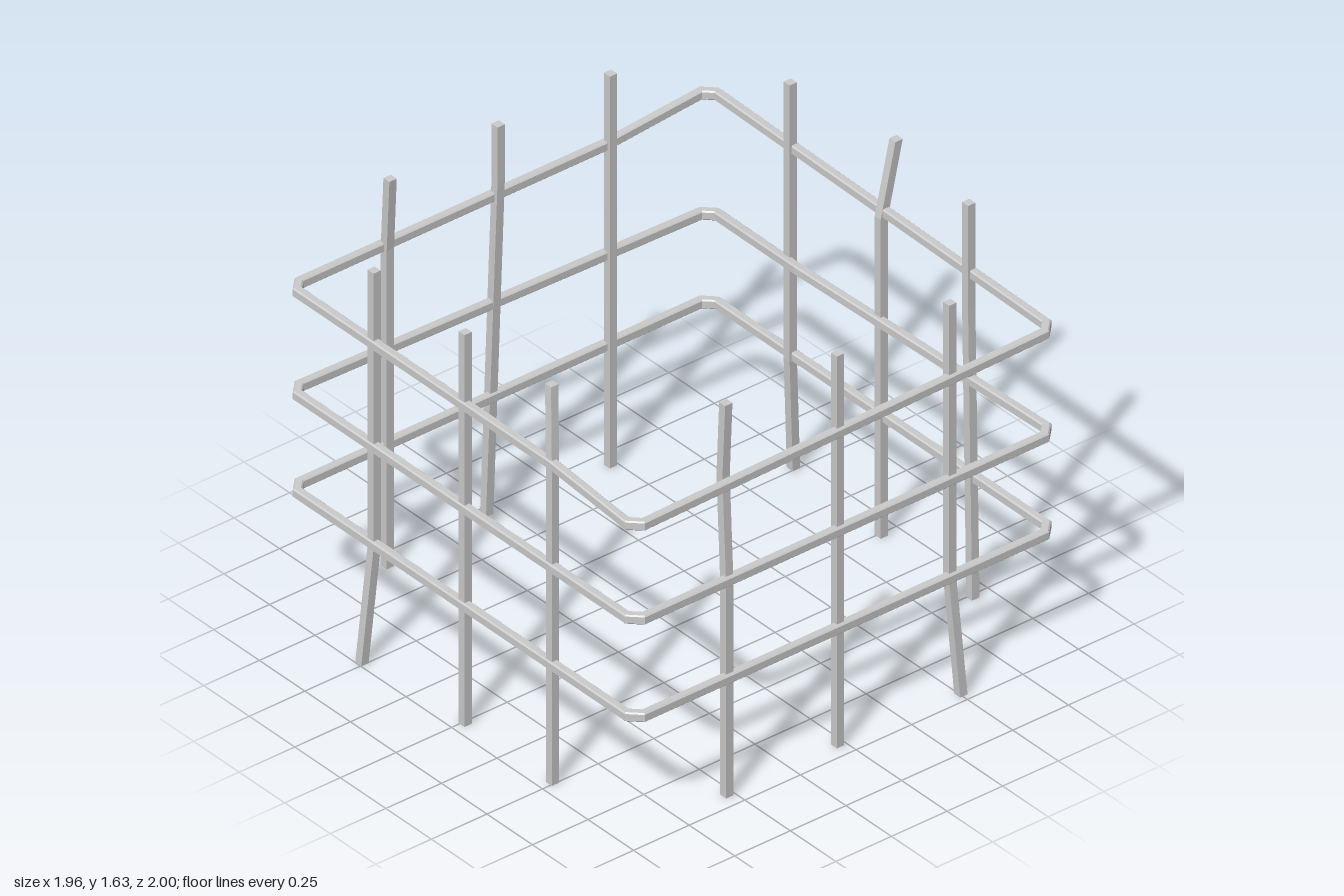
import * as THREE from 'three';

const material = new THREE.MeshStandardMaterial({ color: 0xcccccc, flatShading: true });

// Skins a row of equal cross-sections; closed loops join up, open ones get end caps.
function loft(name, sections, closed) {
  const pos = [];
  const tri = (a, b, c) => pos.push(...a, ...b, ...c);
  const n = sections.length, m = sections[0].length;
  for (let i = 0; i < (closed ? n : n - 1); i++) {
    const s = sections[i], t = sections[(i + 1) % n];
    for (let j = 0; j < m; j++) {
      const k = (j + 1) % m;
      tri(s[j], s[k], t[k]);
      tri(s[j], t[k], t[j]);
    }
  }
  if (!closed) {
    const s = sections[0], t = sections[n - 1];
    for (let j = 1; j < m - 1; j++) {
      tri(s[0], s[j + 1], s[j]);
      tri(t[0], t[j], t[j + 1]);
    }
  }
  const geometry = new THREE.BufferGeometry();
  geometry.setAttribute('position', new THREE.Float32BufferAttribute(pos, 3));
  geometry.computeVertexNormals();
  const mesh = new THREE.Mesh(geometry, material);
  mesh.name = name;
  return mesh;
}

// Square upright through [x, y, z] points, bottom to top.
function post(name, points) {
  const h = 0.0165;
  const corners = [[h, h], [h, -h], [-h, -h], [-h, h]];
  return loft(name, points.map(([x, y, z]) => corners.map(([a, b]) => [x + a, y, z + b])), false);
}

// Closed rail through [x, y, z] points, with a slightly bevelled bar section.
function rail(name, points) {
  const w = 0.0165, h = 0.019, c = 0.005;
  const bar = [[w, h - c], [w, c - h], [w - c, -h], [c - w, -h],
    [-w, c - h], [-w, h - c], [c - w, h], [w - c, h]];
  const n = points.length;
  const outward = (p, q) => new THREE.Vector2(p[2] - q[2], q[0] - p[0]).normalize();
  const sections = points.map((p, i) => {
    const n1 = outward(points[(i + n - 1) % n], p), n2 = outward(p, points[(i + 1) % n]);
    const miter = n1.clone().add(n2).normalize();
    miter.divideScalar(miter.dot(n1));
    return bar.map(([o, v]) => [p[0] + miter.x * o, p[1] + v, p[2] + miter.y * o]);
  });
  return loft(name, sections, true);
}

// Rail outline with cut corners; heights per corner and extra bend points per side.
function railPath([fl, fr, br, bl], bends = {}) {
  const L = -0.943, R = 0.947, F = 0.953, B = -0.932, c = 0.04;
  return [
    [L + c, fl, F], ...(bends.front || []), [R - c, fr, F],
    [R, fr, F - c], ...(bends.right || []), [R, br, B + c],
    [R - c, br, B], ...(bends.back || []), [L + c, bl, B],
    [L, bl, B + c], ...(bends.left || []), [L, fl, F - c],
  ];
}

export function createModel() {
  const group = new THREE.Group();
  group.name = 'fenceFrame';

  // Rails: the lowest is level, the upper two are bent
  group.add(rail('lowerRail', railPath([0.498, 0.498, 0.498, 0.498])));
  group.add(rail('middleRail', railPath([0.905, 0.905, 0.905, 0.868],
    { back: [[-0.42, 0.902, -0.898]] })));
  group.add(rail('upperRail', railPath([1.335, 1.297, 1.336, 1.37],
    { front: [[0.5, 1.335, 0.953]], left: [[-0.943, 1.335, -0.48]] })));

  // Posts: base position plus any bent-out bottom, shoulder or top position
  const TOP = 1.635, F = 0.947, B = -0.924, L = -0.929, R = 0.935;
  const posts = [
    { name: 'frontRightPost', at: [-0.49, F], bottom: [-0.513, 0.983] },
    { name: 'frontMiddlePost', at: [0.01, F] },
    { name: 'frontLeftPost', at: [0.49, F], top: [0.455, 0.922] },
    { name: 'backRightPost', at: [-0.49, B], bottom: [-0.513, -0.957] },
    { name: 'backMiddlePost', at: [0.01, B], top: [0.019, -0.983] },
    { name: 'backLeftPost', at: [0.49, B], bottom: [0.513, B], bendFrom: 1.2 },
    { name: 'rightBackPost', at: [L, -0.475] },
    { name: 'rightMiddlePost', at: [L, 0.03], bottom: [-0.965, 0.052], bendFrom: 1.4 },
    { name: 'rightFrontPost', at: [L, 0.528], top: [-0.902, 0.538] },
    { name: 'leftBackPost', at: [R, -0.475], bottom: [0.959, -0.505] },
    { name: 'leftMiddlePost', at: [R, 0.03] },
    { name: 'leftFrontPost', at: [R, 0.528], shoulder: [0.915, 0.528], top: [0.93, 0.528] },
  ];
  for (const { name, at, bottom = at, shoulder = at, top = at, bendFrom = 0.48 } of posts) {
    const path = [[bottom, 0], [at, bendFrom]];
    if (shoulder !== at) path.push([at, 0.9]);
    if (top !== at) path.push([shoulder, 1.33]);
    path.push([top, TOP]);
    group.add(post(name, path.map(([[x, z], y]) => [x, y, z])));
  }
  return group;
}
